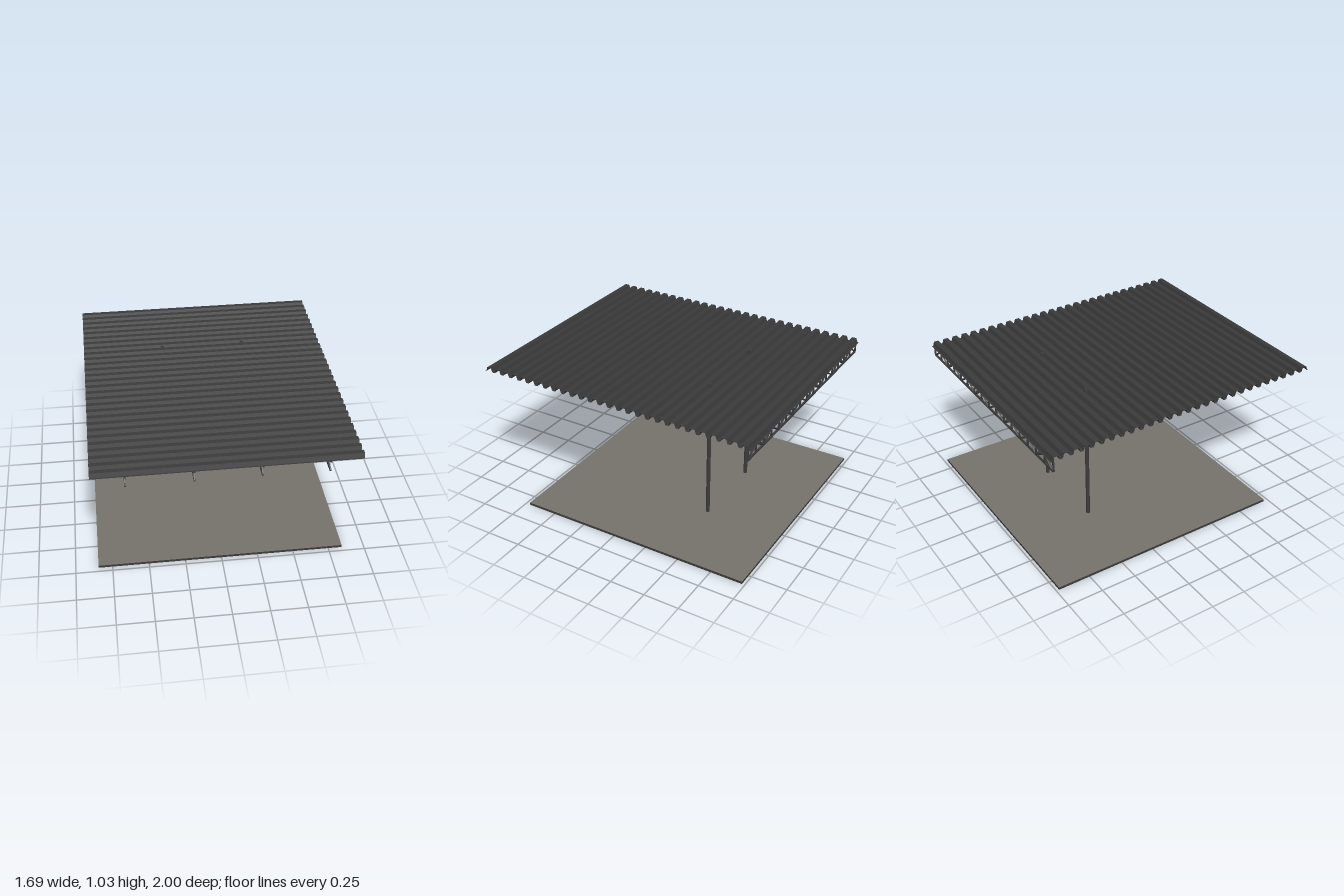
import * as THREE from 'three';
import { mergeGeometries } from 'three/addons/utils/BufferGeometryUtils.js';

const mat = (name, color, side = THREE.FrontSide) => {
  const m = new THREE.MeshStandardMaterial({ color, side });
  m.name = name;
  return m;
};

// Square bar between two points
function bar(a, b, t) {
  const from = new THREE.Vector3(...a), to = new THREE.Vector3(...b);
  const dir = to.clone().sub(from);
  const g = new THREE.BoxGeometry(t, t, dir.length());
  g.applyQuaternion(new THREE.Quaternion().setFromUnitVectors(new THREE.Vector3(0, 0, 1), dir.normalize()));
  return g.translate(...from.add(to).multiplyScalar(0.5).toArray());
}

// Flat zigzag truss; at(s, y) places a point along its run
function truss(at, start, end, panels, verticals, thick, thin) {
  const lo = 0.928, hi = 0.994, step = (end - start) / panels;
  const bars = [
    bar(at(start, lo), at(end, lo), thick),
    bar(at(start, hi), at(end, hi), thick),
  ];
  for (let i = 0; i < panels; i++) {
    const s = start + i * step, up = i % 2 === 0;
    bars.push(bar(at(s, up ? lo : hi), at(s + step, up ? hi : lo), thin));
  }
  if (verticals) {
    for (let i = 0; i <= panels; i++) {
      bars.push(bar(at(start + i * step, lo), at(start + i * step, hi), thin * 1.1));
    }
  }
  return mergeGeometries(bars);
}

// Folded sheet of trapezoid ribs running along x
function corrugatedSheet(halfWidth, ribs) {
  const profile = [], pitch = 2 / ribs, low = 1.001, high = 1.03;
  for (let i = 0; i < ribs; i++) {
    const z = -1 + i * pitch;
    profile.push([z, low], [z + pitch * 0.14, low], [z + pitch * 0.28, high], [z + pitch * 0.72, high], [z + pitch * 0.86, low]);
  }
  profile.push([1, low]);
  const pos = [];
  for (let i = 0; i < profile.length - 1; i++) {
    const [z0, y0] = profile[i], [z1, y1] = profile[i + 1], w = halfWidth;
    pos.push(-w, y0, z0, -w, y1, z1, w, y1, z1, -w, y0, z0, w, y1, z1, w, y0, z0);
  }
  const g = new THREE.BufferGeometry();
  g.setAttribute('position', new THREE.Float32BufferAttribute(pos, 3));
  g.computeVertexNormals();
  return g;
}

export function createModel() {
  const model = new THREE.Group();
  model.name = 'canopy';
  const concrete = mat('concrete', 0x74726a);
  const steel = mat('darkSteel', 0x3c3c3c);
  const sheet = mat('roofSheet', 0x3a3a3a, THREE.DoubleSide);
  const add = (name, geometry, material) => {
    const mesh = new THREE.Mesh(geometry, material);
    mesh.name = name;
    model.add(mesh);
    return mesh;
  };

  // Floor slab with dark edges
  add('floorSlab', new THREE.BoxGeometry(1.69, 0.018, 1.695), [steel, steel, concrete, concrete, steel, steel])
    .position.set(0, 0.009, -0.1325);

  // Posts rising through the roof
  for (const side of [-1, 1]) {
    const g = new THREE.CylinderGeometry(0.0135, 0.0135, 1.014, 8).rotateY(Math.PI / 8).toNonIndexed();
    g.computeVertexNormals();
    add(side > 0 ? 'leftPost' : 'rightPost', g, steel).position.set(side * 0.287, 0.525, -0.42);
  }

  // Four long trusses from front to back
  for (const x of [-0.633, -0.211, 0.211, 0.633]) {
    add('roofTruss', truss((s, y) => [x, y, s], 0.997, -0.98, 22, false, 0.011, 0.007), steel);
  }

  // Cross truss along the back edge, with its closing strip
  add('backTruss', truss((s, y) => [s, y, -0.98], -0.84, 0.84, 16, true, 0.011, 0.009), steel);
  add('backStrip', new THREE.BoxGeometry(1.69, 0.03, 0.004), steel).position.set(0, 1.013, -0.98);

  // Corrugated roof
  add('corrugatedRoof', corrugatedSheet(0.845, 28), sheet);
  return model;
}
